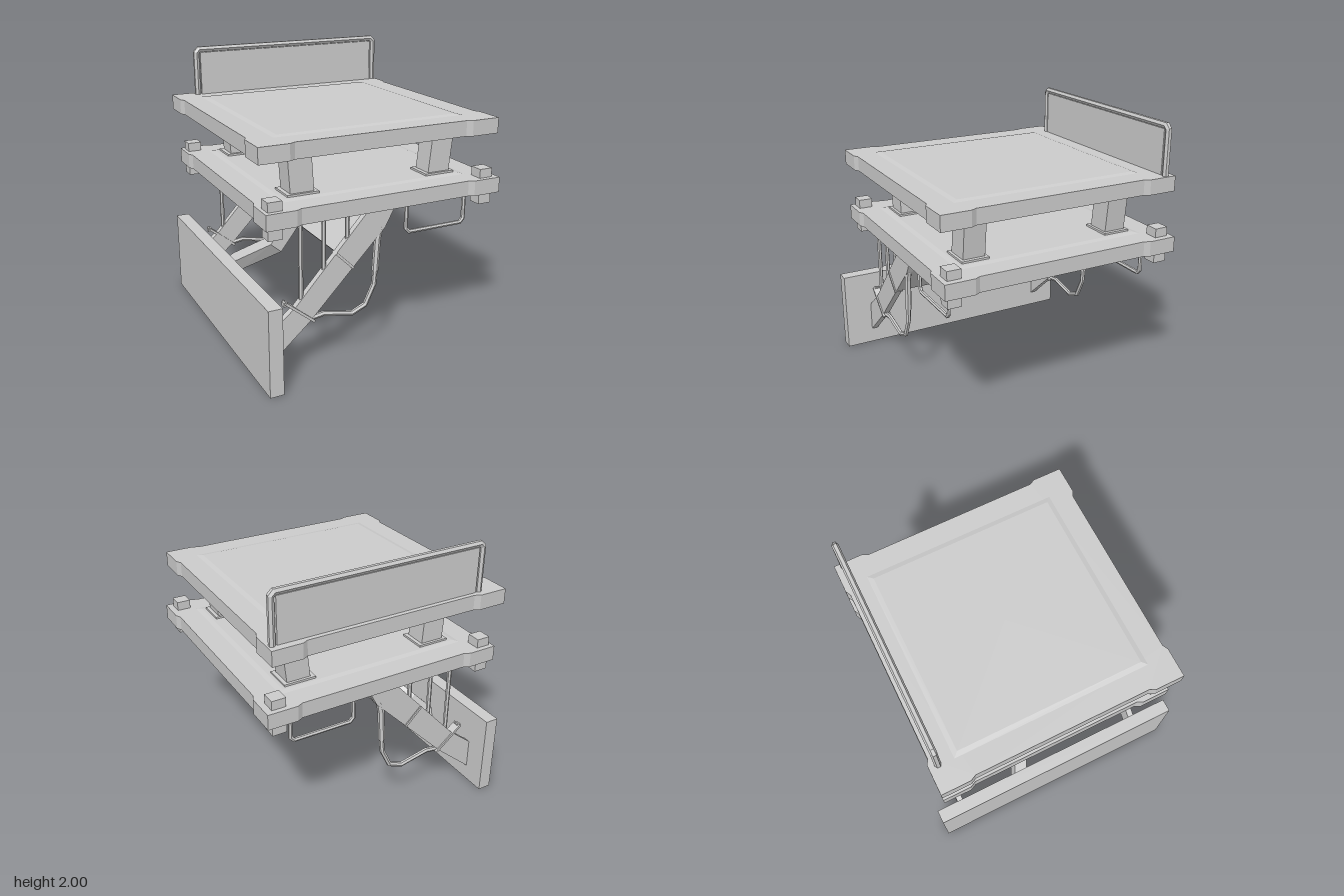
import * as THREE from 'three';

const material = new THREE.MeshStandardMaterial({ color: 0xcccccc, flatShading: true, side: THREE.DoubleSide });
const V = (x, y, z) => new THREE.Vector3(x, y, z);
const MID_Z = -0.02; // the decks and their fittings sit slightly towards the back

export function createModel() {
  const model = new THREE.Group();

  const add = (name, geometry, parent = model) => {
    const mesh = new THREE.Mesh(geometry, material);
    mesh.name = name;
    parent.add(mesh);
    return mesh;
  };

  // Box given by its lower and upper limits on each axis
  const box = (name, x0, x1, y0, y1, z0, z1, parent) => {
    const mesh = add(name, new THREE.BoxGeometry(x1 - x0, y1 - y0, z1 - z0), parent);
    mesh.position.set((x0 + x1) / 2, (y0 + y1) / 2, (z0 + z1) / 2);
    return mesh;
  };

  // Profile in x,y extruded along z
  const slab = (name, profile, z0, z1, parent) => {
    const shape = new THREE.Shape(profile.map(([x, y]) => new THREE.Vector2(x, y)));
    const geometry = new THREE.ExtrudeGeometry(shape, { depth: z1 - z0, bevelEnabled: false });
    geometry.translate(0, 0, z0);
    return add(name, geometry, parent);
  };

  // Mitred bar with a regular section swept along a polyline
  const bar = (name, points, radius, sides, parent, phase = 0) => {
    const position = [], index = [], last = points.length - 1;
    points.forEach((p, i) => {
      const before = points[i].clone().sub(points[Math.max(i - 1, 0)]).normalize();
      const after = points[Math.min(i + 1, last)].clone().sub(p).normalize();
      const t = before.clone().add(after).normalize();
      const n = V(0, 0, 1).addScaledVector(t, -t.z).normalize();
      const b = t.clone().cross(n);
      const mitre = 1 / Math.max(0.6, t.dot(i < last ? after : before));
      for (let j = 0; j < sides; j++) {
        const a = (j / sides) * Math.PI * 2 + phase;
        const v = p.clone().addScaledVector(n, radius * Math.cos(a)).addScaledVector(b, radius * mitre * Math.sin(a));
        position.push(v.x, v.y, v.z);
      }
    });
    for (let j = 0; j < sides; j++) {
      const k = (j + 1) % sides;
      for (let i = 0; i < last; i++) {
        const r = i * sides, s = r + sides;
        index.push(r + j, r + k, s + j, r + k, s + k, s + j);
      }
      if (j > 0 && j < sides - 1) index.push(0, k, j, last * sides, last * sides + j, last * sides + k);
    }
    const indexed = new THREE.BufferGeometry();
    indexed.setAttribute('position', new THREE.Float32BufferAttribute(position, 3));
    indexed.setIndex(index);
    const geometry = indexed.toNonIndexed();
    geometry.computeVertexNormals();
    return add(name, geometry, parent);
  };

  // Deck: square with thicker chamfered corners and shallow bevelled panels
  const deck = (name, cx, y0, y1, panelBelow) => {
    const group = new THREE.Group();
    group.name = name;
    group.position.set(cx, 0, MID_Z);
    const h = 0.885, r = 0.865, a = 0.675, b = 0.635;
    const outline = [];
    for (let q = 0; q < 4; q++) {
      for (const [x, y] of [[r, -b], [r, b], [h, a], [h, h], [a, h], [b, r]]) {
        const c = [1, 0, -1, 0][q], s = [0, 1, 0, -1][q];
        outline.push(new THREE.Vector2(x * c - y * s, x * s + y * c));
      }
    }
    const body = new THREE.ExtrudeGeometry(new THREE.Shape(outline), { depth: y1 - y0, bevelEnabled: false });
    body.rotateX(-Math.PI / 2).translate(0, y0, 0);
    add('deckBody', body, group);
    const panel = (y, flip) => {
      const g = new THREE.CylinderGeometry(0.675 * Math.SQRT2, 0.71 * Math.SQRT2, 0.008, 4, 1);
      g.rotateY(Math.PI / 4);
      if (flip) g.rotateX(Math.PI);
      g.translate(0, y, 0);
      add('deckPanel', g, group);
    };
    panel(y1 + 0.004, false);
    if (panelBelow) panel(y0 - 0.004, true);
    model.add(group);
  };
  deck('lowerDeck', 0.02, 1.09, 1.2, false);
  deck('upperDeck', -0.022, 1.522, 1.632, true);

  // Leaning posts with foot and head plates, and corner pegs through the lower deck
  for (const side of [1, -1]) {
    const z = MID_Z + side * 0.555;
    for (const [foot, head] of [[-0.505, -0.525], [0.555, 0.587]]) {
      const post = new THREE.Group();
      post.name = 'post';
      model.add(post);
      slab('postShaft', [[foot - 0.085, 1.21], [foot + 0.087, 1.21], [head + 0.087, 1.51], [head - 0.085, 1.51]], z - 0.08, z + 0.08, post);
      box('postFoot', foot - 0.115, foot + 0.115, 1.2, 1.222, z - 0.1, z + 0.1, post);
      box('postHead', head - 0.115, head + 0.115, 1.498, 1.522, z - 0.1, z + 0.1, post);
    }
    const pegZ = MID_Z + side * 0.8;
    for (const x of [-0.79, 0.81]) box('cornerPeg', x - 0.05, x + 0.05, 1.01, 1.265, pegZ - 0.05, pegZ + 0.05);
  }

  // Back board inside a bent tube frame
  box('backBoard', -0.69, 0.8, 1.63, 1.955, -0.853, -0.829);
  bar('backFrame', [V(-0.72, 1.62, -0.841), V(-0.72, 1.955, -0.841), V(-0.697, 1.978, -0.841),
    V(0.807, 1.978, -0.841), V(0.83, 1.955, -0.841), V(0.83, 1.62, -0.841)], 0.023, 6);

  // Upright mounting plate
  box('mountingPlate', -0.91, -0.812, 0, 0.613, -0.975, 0.975);

  // Side supports: sloping arm, straps, hanging rods, cable and grab handle
  const armProfile = [[-0.82, 0.11], [-0.53, 0.36], [-0.03, 0.87], [0.04, 0.94], [0.12, 1.09], [-0.08, 1.09], [-0.63, 0.49], [-0.82, 0.335]];
  for (const side of [1, -1]) {
    const z = MID_Z + side * 0.765;
    const support = new THREE.Group();
    support.name = side > 0 ? 'frontSupport' : 'backSupport';
    model.add(support);
    slab('slopingArm', armProfile, z - 0.023, z + 0.023, support);
    const strap = (x, y, length, angle, depth) => {
      const mesh = add('strap', new THREE.BoxGeometry(length, 0.018, depth), support);
      mesh.position.set(x, y, z);
      mesh.rotation.z = angle;
    };
    strap(-0.268, 0.752, 0.18, -0.78, 0.062);
    strap(-0.6, 0.445, 0.27, -0.69, 0.066);
    box('strapBuckle', -0.715, -0.685, 0.505, 0.535, z - 0.02, z + 0.02, support);
    for (const [x, y] of [[-0.582, 0.53], [-0.414, 0.7], [-0.24, 0.88]]) {
      bar('hangingRod', [V(x, 1.1, z), V(x, y, z)], 0.016, 6, support);
    }
    bar('cableSleeve', [V(0.012, 0.95, z), V(-0.008, 0.86, z), V(-0.022, 0.625, z)], 0.024, 6, support);
    bar('cable', [V(-0.02, 0.65, z), V(-0.03, 0.525, z), V(-0.097, 0.385, z), V(-0.2, 0.342, z),
      V(-0.42, 0.388, z), V(-0.54, 0.37, z)], 0.018, 6, support);
    bar('grabHandle', [V(0.217, 1.1, z), V(0.217, 0.893, z), V(0.243, 0.865, z),
      V(0.667, 0.865, z), V(0.693, 0.893, z), V(0.693, 1.1, z)], 0.015, 6, support);
  }

  // Folded panel between the arms
  slab('crossPanel', [[-0.2, 0.7], [0.04, 0.945], [0.1, 1.065], [0.03, 1.065], [-0.02, 0.97], [-0.245, 0.745]], -0.765, 0.725);

  // Bent centre brace from the lower deck to the plate
  bar('centreBrace', [V(-0.12, 1.1, 0.01), V(-0.28, 0.89, 0.05), V(-0.47, 0.65, 0.05),
    V(-0.67, 0.45, -0.22), V(-0.83, 0.29, -0.3)], 0.07, 4, model, Math.PI / 4);

  return model;
}
